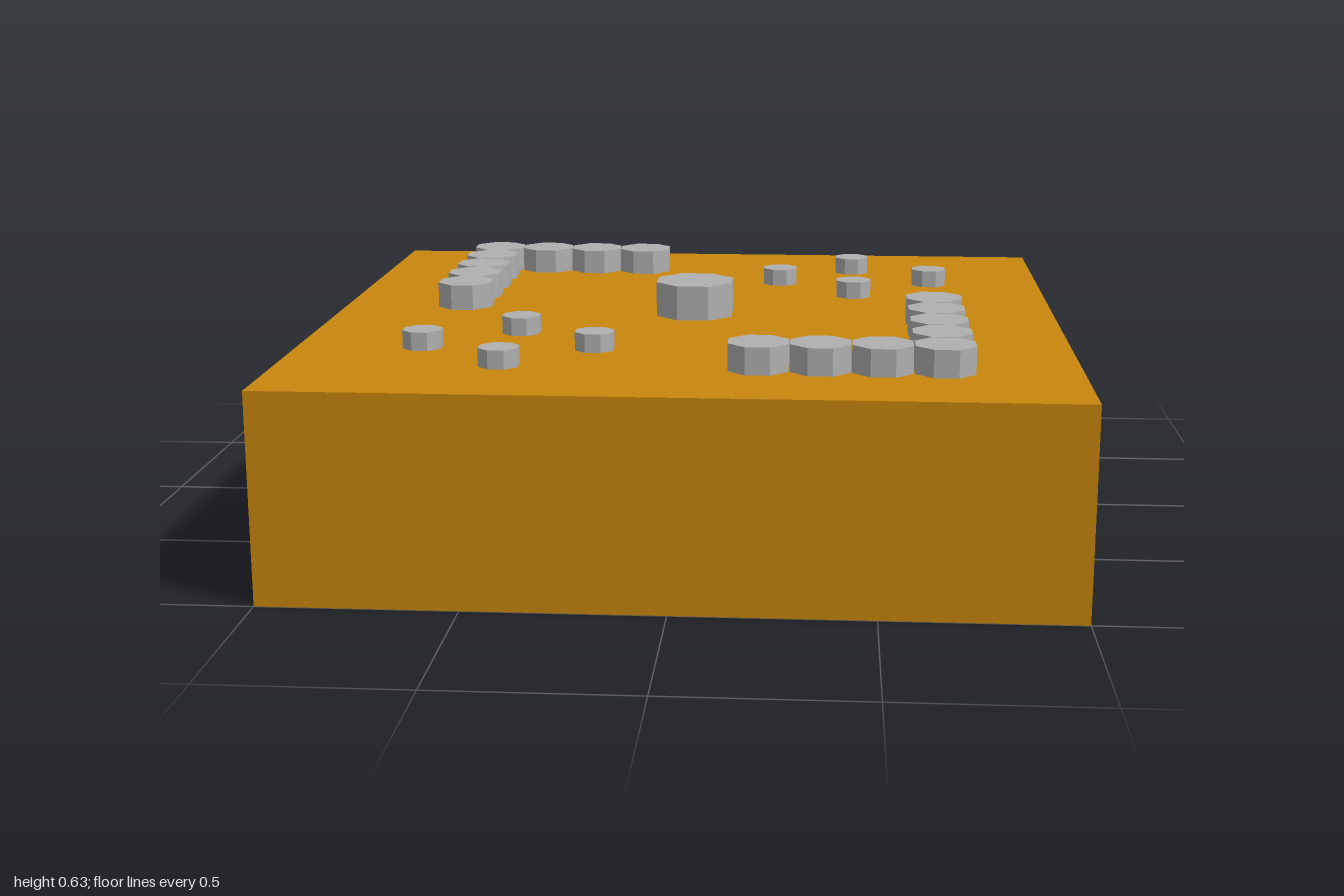
import * as THREE from 'three';

const BASE_TOP = 0.535;

export function createModel() {
  const model = new THREE.Group();
  model.name = 'studdedBlock';

  const amber = new THREE.MeshStandardMaterial({ color: 0xc8860d });
  amber.name = 'amber';
  const grey = new THREE.MeshStandardMaterial({ color: 0xb0b0b0 });
  grey.name = 'grey';

  // Solid square base
  const base = new THREE.Mesh(new THREE.BoxGeometry(2, BASE_TOP, 2), amber);
  base.name = 'base';
  base.position.y = BASE_TOP / 2;
  model.add(base);

  // Octagonal stud geometry: flat sides face the axes, bottom rests on y = 0
  const studGeometry = (width, height) => {
    const radius = width / 2 / Math.cos(Math.PI / 8);
    return new THREE.CylinderGeometry(radius, radius, height, 8)
      .rotateY(Math.PI / 8)
      .translate(0, height / 2, 0)
      .toNonIndexed();
  };

  const addStuds = (name, width, height, places) => {
    const geometry = studGeometry(width, height);
    geometry.computeVertexNormals(); // faceted sides
    const group = new THREE.Group();
    group.name = name;
    places.forEach(([x, z], i) => {
      const stud = new THREE.Mesh(geometry, grey);
      stud.name = `${name}${i + 1}`;
      stud.position.set(x, BASE_TOP, z - 0.003);
      group.add(stud);
    });
    model.add(group);
  };

  // Large centre stud
  addStuds('centreStud', 0.208, 0.095, [[0, 0]]);

  // Two L-shaped walls of touching studs, opposite each other
  const step = 0.1525;
  const wall = [];
  for (let i = 0; i < 5; i++) wall.push([0.66, 0.688 - i * step]);
  for (let i = 1; i < 4; i++) wall.push([0.66 - i * step, 0.688]);
  addStuds('frontWallStud', 0.149, 0.07, wall);
  addStuds('backWallStud', 0.149, 0.07, wall.map(([x, z]) => [-x, -z]));

  // Small studs in a diamond in each remaining corner
  const diamond = [[0.442, -0.692], [0.226, -0.487], [0.672, -0.493], [0.445, -0.292]];
  addStuds('backSmallStud', 0.098, 0.048, diamond);
  addStuds('frontSmallStud', 0.098, 0.048, diamond.map(([x, z]) => [-x, -z]));

  return model;
}
